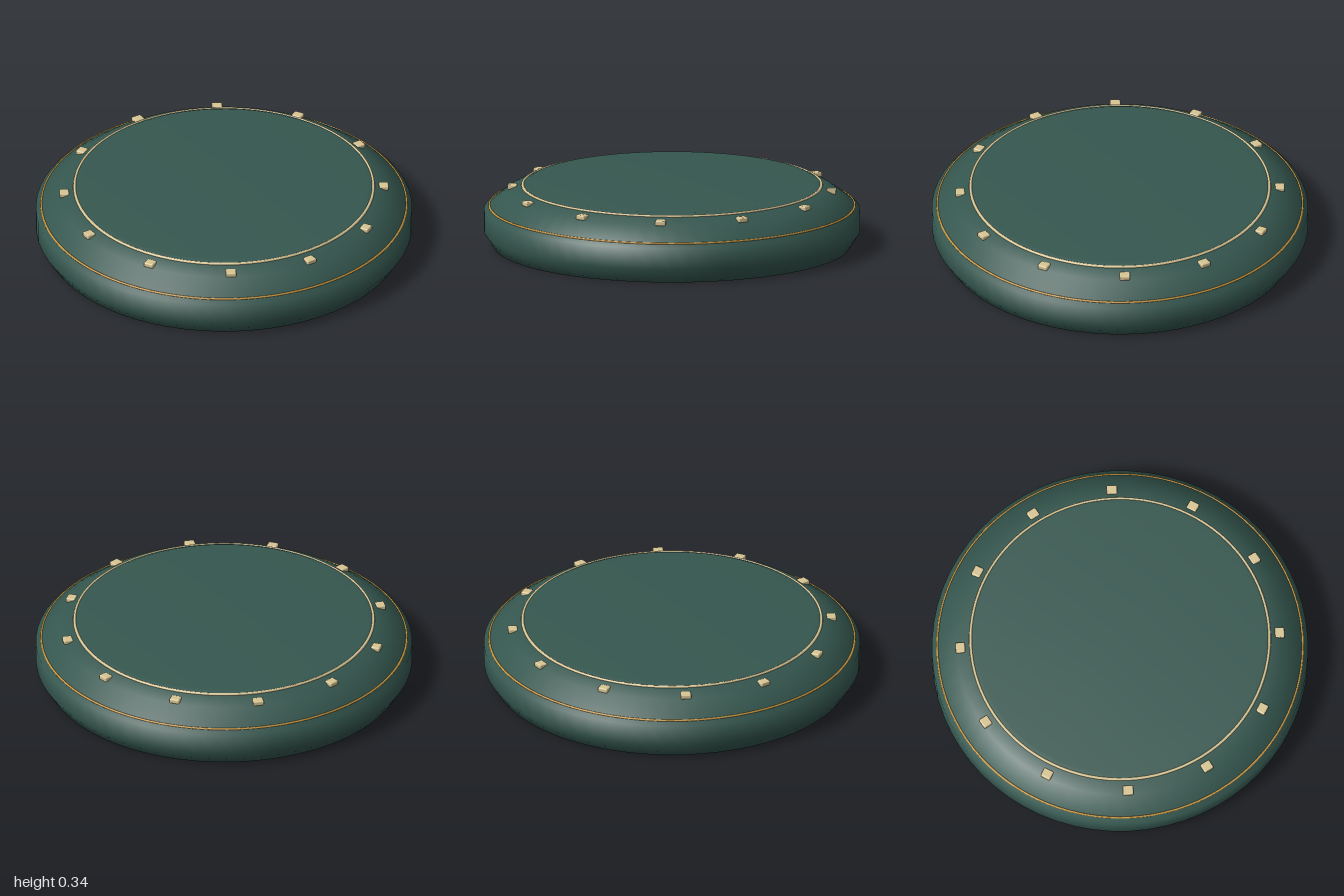
import * as THREE from 'three';
import { RoundedBoxGeometry } from 'three/addons/geometries/RoundedBoxGeometry.js';

export function createModel() {
  const group = new THREE.Group();
  const material = (name, color) => {
    const m = new THREE.MeshStandardMaterial({ color });
    m.name = name;
    return m;
  };
  const green = material('dark green', 0x35574f);
  const cream = material('cream', 0xd8c594);
  const gold = material('gold', 0xc8963f);

  const add = (name, geometry, mat, parent = group) => {
    const mesh = new THREE.Mesh(geometry, mat);
    mesh.name = name;
    parent.add(mesh);
    return mesh;
  };

  // Round body with a chamfered foot and a sloping shoulder
  const profile = [
    [0, 0], [0.95, 0], [1, 0.08], [1, 0.195], [0.87, 0.29], [0.765, 0.34], [0, 0.34],
  ].map(([r, y]) => new THREE.Vector2(r, y));
  add('body', new THREE.LatheGeometry(profile, 64), green);

  // Thin trim rings lying on the shoulder
  const ring = (name, radius, tube, y, mat) => {
    const geometry = new THREE.TorusGeometry(radius, tube, 8, 96);
    geometry.rotateX(Math.PI / 2);
    add(name, geometry, mat).position.y = y;
  };
  ring('innerRing', 0.794, 0.008, 0.325, cream);
  ring('outerRing', 0.971, 0.006, 0.215, gold);

  // Twelve studs, sunk into the shoulder and turned to face outwards
  const studs = new THREE.Group();
  studs.name = 'studs';
  group.add(studs);
  const studShape = new RoundedBoxGeometry(0.056, 0.026, 0.05, 2, 0.007);
  for (let i = 0; i < 12; i++) {
    const angle = (i / 12) * Math.PI * 2;
    const stud = add('stud', studShape, cream, studs);
    stud.position.set(Math.sin(angle) * 0.85, 0.303, Math.cos(angle) * 0.85);
    stud.rotation.y = angle;
  }
  return group;
}
